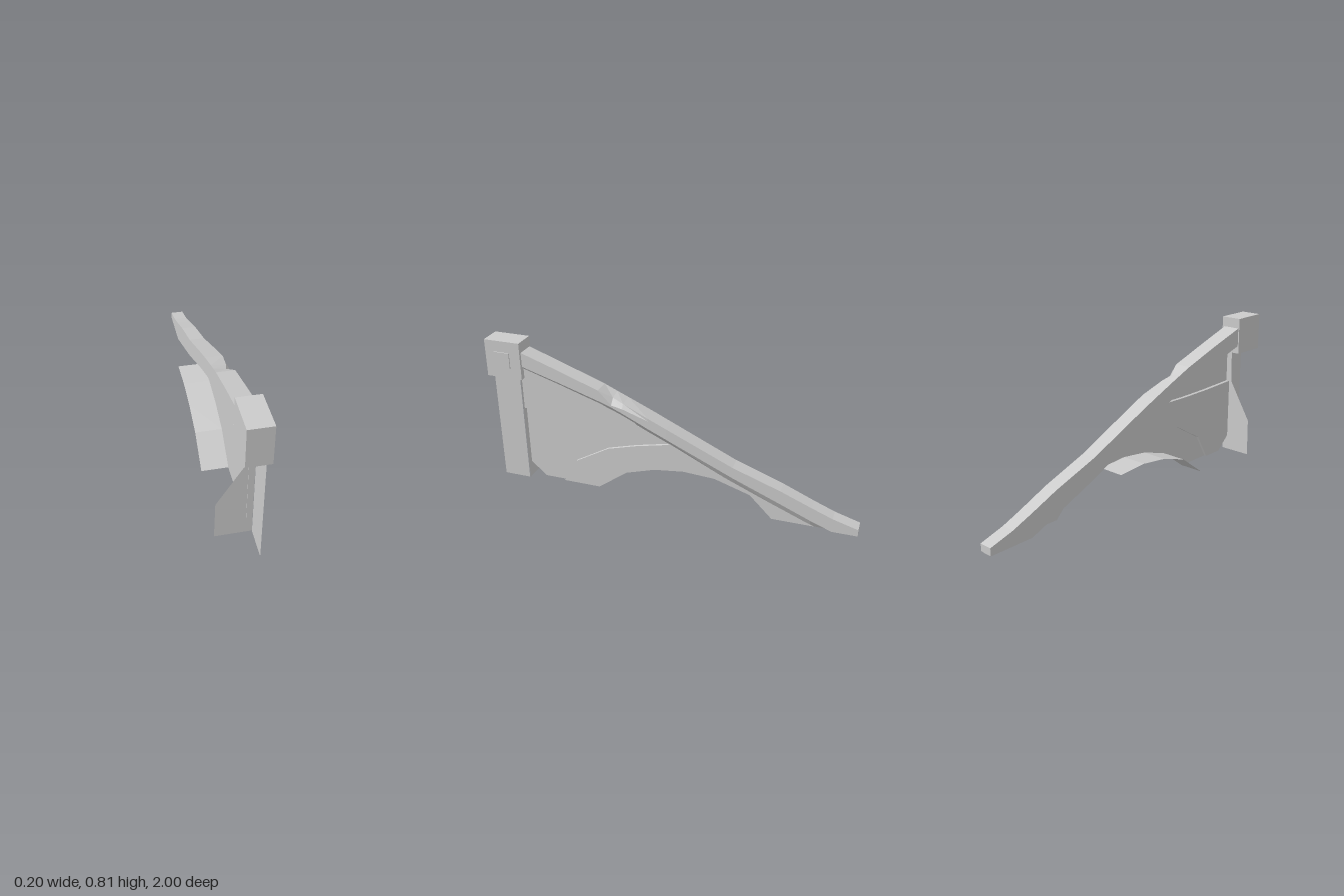
import * as THREE from 'three';

const grey = new THREE.MeshStandardMaterial({ color: 0xcccccc, flatShading: true });
const sheetMat = new THREE.MeshStandardMaterial({ color: 0xcccccc, flatShading: true, side: THREE.DoubleSide });

function mesh(name, geometry, material = sheetMat) {
  const m = new THREE.Mesh(geometry, material);
  m.name = name;
  return m;
}

// Surface through a list of equally long rows of [x, y, z] points
function loft(rows, closed = false) {
  const n = rows[0].length, index = [];
  for (let i = 0; i < rows.length - 1; i++) {
    for (let j = 0; j < (closed ? n : n - 1); j++) {
      const a = i * n + j, b = i * n + (j + 1) % n;
      index.push(a, b, b + n, a, b + n, a + n);
    }
  }
  if (closed) {
    const last = (rows.length - 1) * n;
    for (let j = 1; j < n - 1; j++) index.push(0, j + 1, j, last, last + j, last + j + 1);
  }
  const g = new THREE.BufferGeometry();
  g.setAttribute('position', new THREE.Float32BufferAttribute(rows.flat(2), 3));
  g.setIndex(index);
  const flat = g.toNonIndexed();
  flat.computeVertexNormals();
  return flat;
}

const shape = pts => new THREE.ShapeGeometry(new THREE.Shape(pts.map(p => new THREE.Vector2(...p))));

// Thin upright panel from [z, y] corners at a fixed x
function panel(pts, x) {
  return shape(pts).rotateY(-Math.PI / 2).translate(x, 0, 0);
}

const at = (pts, x) => pts.map(([z, y]) => [x, y, z]);

export function createModel() {
  const group = new THREE.Group();
  const upperX = 0.066, middleX = 0.046, lowerX = 0.06;

  // Sloping beam: z, left x, right x, top y, side bottom y, underside y
  const stations = [
    [0.84, -0.018, 0.08, 0.77, 0.69, 0.665],
    [0.6, -0.01, 0.083, 0.69, 0.62, 0.59],
    [0.37, -0.005, 0.087, 0.61, 0.55, 0.515],
    [0.3, -0.003, 0.087, 0.58, 0.525, 0.485, 0.028],
    [0.24, -0.002, 0.088, 0.555, 0.5, 0.46, 0.015],
    [0.1, 0, 0.09, 0.495, 0.435, 0.395],
    [0, 0.002, 0.09, 0.45, 0.39, 0.35],
    [-0.35, 0.004, 0.086, 0.29, 0.23, 0.18],
    [-0.6, 0.005, 0.083, 0.2, 0.125, 0.075],
    [-0.76, 0.005, 0.079, 0.132, 0.055, 0.01],
    [-0.87, 0.005, 0.077, 0.088, 0.012, 0.01],
    [-1, 0.005, 0.075, 0.05, 0.012, 0.01],
  ];
  const rings = stations.map(([z, l, r, top, side, low, chip = 0]) => [
    [l, top, z], [r - chip, top - chip * 0.4, z], [r, top - 0.015 - chip, z],
    [r, side, z], [0.055, low, z], [l, low, z],
  ]);
  group.add(mesh('beam', loft(rings, true)));

  // Web: three stepped panels below the beam
  const ledge = [[0.82, 0.43], [0.6, 0.422], [0.4, 0.42], [0.16, 0.425]];
  const rib = [[0.61, 0.01], [0.53, 0.15], [0.34, 0.26], [0.18, 0.305], [0, 0.345]];
  const arch = [[0.4, 0.01], [0.24, 0.13], [0.08, 0.18], [-0.08, 0.2], [-0.25, 0.19]];
  group.add(mesh('upperWeb', panel([...ledge, [0.2, 0.47], [0.5, 0.58], [0.82, 0.69]], upperX)));
  group.add(mesh('middleWeb', panel(
    [[0.82, 0.09], [0.73, 0.01], ...rib, [0, 0.38], [0.16, 0.45], ...ledge.slice().reverse()], middleX)));
  group.add(mesh('lowerWeb', panel(
    [...arch, [-0.44, 0.13], [-0.56, 0.01], [-0.78, 0.012], [-0.6, 0.1], [-0.35, 0.2], [0, 0.37],
      ...rib.slice().reverse()], lowerX)));
  group.add(mesh('webLedge', loft([
    at(ledge, upperX), at(ledge.map(([z, y]) => [z, y - 0.008]), middleX)])));
  group.add(mesh('archRib', loft([at(rib, middleX), at(rib, lowerX)])));

  // Flange along the arch, reaching out to one side
  group.add(mesh('archFlange', loft([at(arch, lowerX), at(arch, -0.08)])));

  // Post made of two thin plates set at a right angle
  group.add(mesh('postSidePlate', panel([[0.82, 0], [0.97, 0], [0.97, 0.63], [0.82, 0.63]], 0.077)));
  group.add(mesh('postCrossPlate', shape(
    [[-0.104, 0], [0.077, 0], [0.077, 0.635], [0.035, 0.635], [0.03, 0.43], [-0.1, 0.212]]
  ).translate(0, 0, 0.816)));

  // Block on top of the post with a square boss
  const block = mesh('topBlock', new THREE.BoxGeometry(0.118, 0.204, 0.2), grey);
  block.position.set(0.036, 0.711, 0.9);
  const boss = mesh('blockBoss', new THREE.BoxGeometry(0.02, 0.088, 0.088), grey);
  boss.position.set(0.091, 0.708, 0.905);
  group.add(block, boss);

  return group;
}
